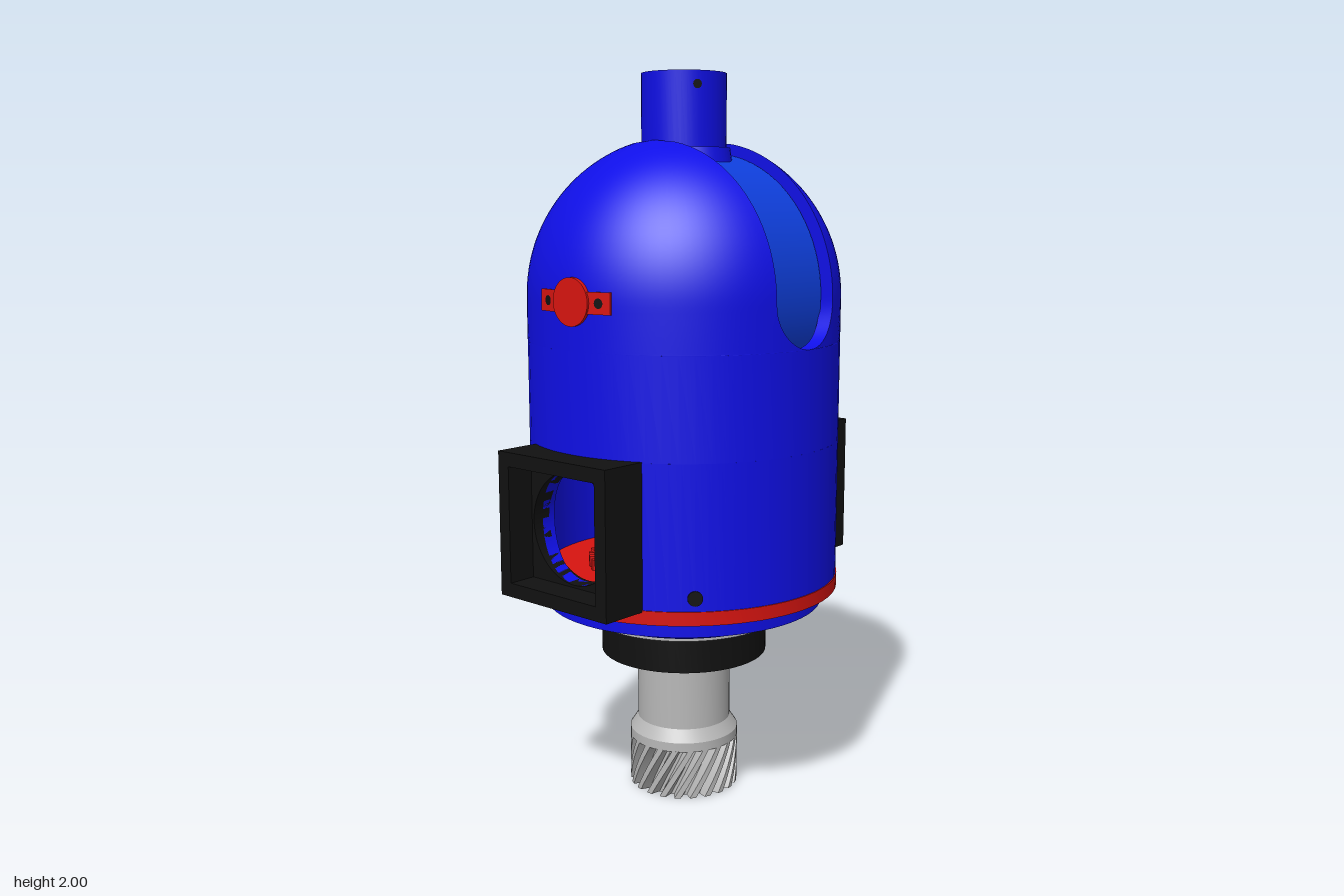
import * as THREE from 'three';
import { toCreasedNormals } from 'three/addons/utils/BufferGeometryUtils.js';
import { ParametricGeometry } from 'three/addons/geometries/ParametricGeometry.js';

const mat = (name, color, side = THREE.FrontSide) => {
  const m = new THREE.MeshStandardMaterial({ color, side });
  m.name = name;
  return m;
};

export function createModel() {
  const blue = mat('body blue', 0x1010ee, THREE.DoubleSide);
  const azure = mat('rotor blue', 0x0f40e0);
  const red = mat('red', 0xd81410);
  const black = mat('black', 0x111111);
  const grey = mat('grey', 0xb8b8b8, THREE.DoubleSide);

  const model = new THREE.Group();
  model.name = 'jointHousing';
  const add = (name, geo, material, x = 0, y = 0, z = 0, parent = model) => {
    const m = new THREE.Mesh(geo, material);
    m.name = name;
    m.position.set(x, y, z);
    parent.add(m);
    return m;
  };
  const crease = (g, a = 0.5) => toCreasedNormals(g, a);
  const lathe = (pts, seg = 64, start = 0, len = Math.PI * 2) =>
    crease(new THREE.LatheGeometry(pts.map(p => new THREE.Vector2(...p)), seg, start, len));
  // Tube-like ring between two radii and two heights
  const ring = (ri, ro, y0, y1, ...arc) =>
    lathe([[ri, y0], [ro, y0], [ro, y1], [ri, y1], [ri, y0]], ...arc);
  const square = h => [[-h, -h], [h, -h], [h, h], [-h, h]].map(p => new THREE.Vector2(...p));
  const circle = (r, x = 0, y = 0) => new THREE.Path().absarc(x, y, r, 0, Math.PI * 2, true);
  const extrude = (shape, depth, curveSegments = 32) =>
    crease(new THREE.ExtrudeGeometry(shape, { depth, bevelEnabled: false, curveSegments }));

  const R = 0.43, RI = 0.39, slot = 0.12, domeY = 1.41;
  const winY = 0.8275, winH = 0.1925, winA = 0.47, winR = 0.15;

  // Lower housing: closed tube, and side walls between the two windows
  add('housingBand', ring(RI, R, 1.02, domeY - slot), blue);
  for (const s of [0, 1])
    add('housingSide', ring(RI, R, winY - winH, 1.02, 28, s * Math.PI + winA, Math.PI - 2 * winA), blue);

  // Wall around each round window: blends from circle to square, outside and inside
  const K = 4;
  const windowWall = (u, v, t) => {
    const a = u * Math.PI * 2, c = Math.cos(a), s = Math.sin(a), m = Math.max(Math.abs(c), Math.abs(s));
    const j = Math.round(v * (2 * K + 1)), outer = j <= K;
    const r = outer ? R : RI, k = (outer ? K - j : j - K - 1) / K;
    const ang = THREE.MathUtils.lerp(Math.asin(winR * c / r), c / m * winA, k);
    t.set(r * Math.sin(ang), winY + THREE.MathUtils.lerp(winR * s, s / m * winH, k), r * Math.cos(ang));
  };

  // Half of the dome beside the slot, a thick shell whose rows narrow around the slot
  const N = 40, V = 40;
  const domeHalf = (u, v, t) => {
    const j = Math.round(u * (2 * N + 2)) % (2 * N + 2), outer = j <= N;
    const r0 = outer ? R : RI, k = (outer ? j : 2 * N + 1 - j) / N;
    let y, r = r0, z = slot;
    if (v < 0.3) {
      const a = v / 0.3 * Math.PI / 2;
      y = domeY - slot * Math.cos(a);
      z = slot * Math.sin(a);
    } else {
      const lat = (v - 0.3) / 0.7 * Math.acos(slot / r0);
      y = domeY + r0 * Math.sin(lat);
      r = r0 * Math.cos(lat);
    }
    const a0 = Math.asin(Math.min(1, z / r)), a = a0 + (Math.PI - 2 * a0) * k;
    t.set(r * Math.cos(a), y, r * Math.sin(a));
  };

  // Parts repeated on front and back
  for (const [side, turn] of [['front', 0], ['back', Math.PI]]) {
    const g = new THREE.Group();
    g.name = side + 'Side';
    g.rotation.y = turn;
    model.add(g);
    add('windowWall', crease(new ParametricGeometry(windowWall, 64, 2 * K + 1)), blue, 0, 0, 0, g);
    add('domeHalf', crease(new ParametricGeometry(domeHalf, 2 * N + 2, V)), blue, 0, 0, 0, g);

    // Black window frame: square rim in front of a plate with a round hole
    const rim = new THREE.Shape(square(0.195));
    rim.holes.push(new THREE.Path(square(0.157).reverse()));
    add('windowFrameRim', extrude(rim, 0.08), black, 0, winY, 0.435, g);
    const plate = new THREE.Shape(square(0.195));
    plate.holes.push(circle(winR));
    add('windowFramePlate', extrude(plate, 0.055), black, 0, winY, 0.38, g);

    // Red badge: round boss with two ears and screw holes
    const boss = add('badgeBoss', new THREE.CylinderGeometry(0.062, 0.062, 0.035, 40), red, 0, 1.415, 0.418, g);
    boss.rotation.x = Math.PI / 2;
    for (const s of [-1, 1]) {
      const ear = add('badgeEar', new THREE.BoxGeometry(0.075, 0.056, 0.03), red, s * 0.084, 1.415, 0.41, g);
      ear.rotation.y = s * 0.2;
      const hole = add('badgeScrew', new THREE.CircleGeometry(0.013, 16), black, s * 0.09, 1.415, 0.4255, g);
      hole.rotation.y = s * 0.2;
    }
    // Set screw low on the housing
    const screw = add('setScrew', new THREE.CylinderGeometry(0.02, 0.02, 0.006, 20), black,
      R * Math.SQRT1_2, 0.672, R * Math.SQRT1_2, g);
    screw.rotation.set(Math.PI / 2, 0, -Math.PI / 4, 'YXZ');
    screw.rotation.y = Math.PI / 4;
    screw.rotation.z = 0;
  }
  const port = add('sidePort', new THREE.CircleGeometry(0.025, 20), grey, -R - 0.001, 1.06, 0);
  port.rotation.y = -Math.PI / 2;

  // Rotor turning inside the slot
  const rotor = add('rotor', new THREE.CylinderGeometry(0.378, 0.378, 0.232, 80), azure, 0, 1.415, 0);
  rotor.rotation.x = Math.PI / 2;

  // Output stem with collar, recess and pockets
  const collar = add('stemCollar', new THREE.CylinderGeometry(0.135, 0.145, 0.06, 48), blue, 0, 1.775, 0);
  collar.scale.z = 0.8;
  add('stem', lathe([[0.115, 1.75], [0.115, 2], [0.1, 2], [0.1, 1.985], [0.065, 1.985],
    [0.065, 1.965], [0.02, 1.965], [0.02, 1.9], [0, 1.9]], 48), blue);
  const bore = add('stemBore', new THREE.CircleGeometry(0.019, 12), black, 0, 1.964, 0);
  bore.rotation.x = -Math.PI / 2;
  bore.position.y = 1.966;
  for (let i = 0; i < 3; i++) {
    const a = Math.PI + i * Math.PI * 2 / 3;
    const pocket = add('stemPocket', new THREE.BoxGeometry(0.03, 0.004, 0.02), black,
      0.083 * Math.sin(a), 1.985, 0.083 * Math.cos(a));
    pocket.rotation.y = a;
  }
  const stemScrew = add('stemScrew', new THREE.CircleGeometry(0.012, 16), black, 0.0995, 1.965, 0.06);
  stemScrew.rotation.y = Math.PI / 2 - 0.54;

  // Interior: red floor and gear wheel, grey board
  const gearShape = (teeth, root, tip, bore) => {
    const s = new THREE.Shape();
    for (let i = 0; i < teeth; i++)
      [[0, root], [0.25, root], [0.4, tip], [0.8, tip]].forEach(([f, r], j) => {
        const a = (i + f) / teeth * Math.PI * 2;
        s[i + j ? 'lineTo' : 'moveTo'](r * Math.cos(a), r * Math.sin(a));
      });
    s.closePath();
    s.holes.push(circle(bore));
    return s;
  };
  add('innerFloor', new THREE.CylinderGeometry(0.389, 0.389, 0.02, 64), red, 0, 0.64, 0);
  add('innerGear', extrude(gearShape(40, 0.24, 0.27, 0.06), 0.03).rotateX(-Math.PI / 2), red, 0, 0.65, 0);
  const board = new THREE.Shape([[-0.2, 0.68], [0.2, 0.68], [0.2, 1.04], [-0.2, 1.04]].map(p => new THREE.Vector2(...p)));
  board.holes.push(circle(0.08, 0.165, 0.865));
  add('innerBoard', extrude(board, 0.04), grey, 0, 0, -0.02);
  for (const [x, y] of [[-0.06, 0.8], [0.06, 0.83]]) {
    add('connector', new THREE.BoxGeometry(0.055, 0.035, 0.08), grey, x, y, 0);
    add('boardBushing', new THREE.TorusGeometry(0.024, 0.007, 8, 24), grey, x, y - 0.065, 0.022);
  }
  add('boardRib', new THREE.BoxGeometry(0.02, 0.26, 0.06), grey, 0, 0.9, 0);

  // Base: red band, stepped blue flange, grey spacer, black collar
  add('redBand', ring(0.38, 0.433, 0.6, 0.637), red);
  add('baseFlange', lathe([[0.13, 0.515], [0.28, 0.515], [0.28, 0.527], [0.312, 0.527], [0.312, 0.555],
    [0.39, 0.555], [0.39, 0.6], [0.42, 0.6], [0.42, 0.63], [0, 0.63]]), blue);
  add('spacerRing', ring(0.12, 0.27, 0.504, 0.517), grey);
  add('blackCollar', ring(0.165, 0.235, 0.402, 0.506), black);

  // Shaft with flare and helical pinion
  add('shaft', lathe([[0.075, 0.13], [0.155, 0.139], [0.155, 0.165], [0.133, 0.198], [0.132, 0.52]], 48), grey);
  add('shaftBore', new THREE.CylinderGeometry(0.075, 0.075, 0.3, 32, 1, true), grey, 0, 0.15, 0);
  const pinion = new THREE.ExtrudeGeometry(gearShape(22, 0.128, 0.155, 0.075),
    { depth: 0.14, steps: 8, bevelEnabled: false, curveSegments: 24 });
  const p = pinion.attributes.position, v = new THREE.Vector3(), axis = new THREE.Vector3(0, 0, 1);
  for (let i = 0; i < p.count; i++) {
    v.fromBufferAttribute(p, i);
    v.applyAxisAngle(axis, v.z * 3.8);
    p.setXYZ(i, v.x, v.y, v.z);
  }
  add('pinion', crease(pinion.rotateX(-Math.PI / 2), 0.35), grey);

  return model;
}
